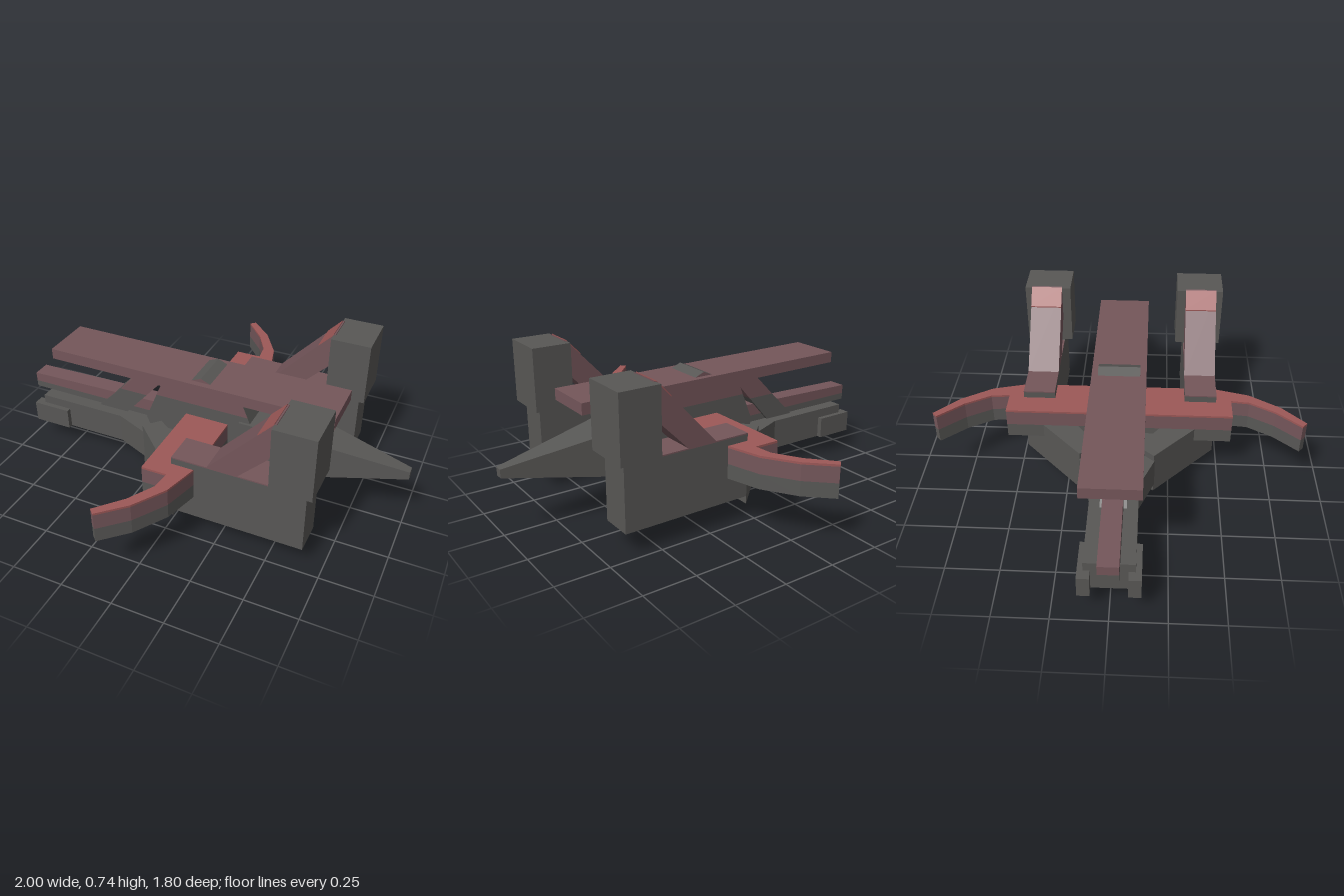
import * as THREE from 'three';

const paint = (name, color) => {
  const m = new THREE.MeshStandardMaterial({ color });
  m.name = name;
  return m;
};

export function createModel() {
  const group = new THREE.Group();
  const grey = paint('dark grey', 0x585755);
  const mauve = paint('mauve', 0x74565a);
  const red = paint('dull red', 0x9c5857);

  const add = (name, geometry, material) => {
    const mesh = new THREE.Mesh(geometry, material);
    mesh.name = name;
    group.add(mesh);
    return mesh;
  };
  // box given by its extents on each axis
  const box = (name, x0, x1, y0, y1, z0, z1, material) => {
    const g = new THREE.BoxGeometry(x1 - x0, y1 - y0, z1 - z0);
    g.translate((x0 + x1) / 2, (y0 + y1) / 2, (z0 + z1) / 2);
    return add(name, g, material);
  };
  const shapeOf = (pts) => new THREE.Shape(pts.map(([a, b]) => new THREE.Vector2(a, b)));
  // side profile (x, y) swept across z
  const sideways = (name, pts, z0, z1, material) => {
    const g = new THREE.ExtrudeGeometry(shapeOf(pts), { depth: z1 - z0, bevelEnabled: false });
    return add(name, g.translate(0, 0, z0), material);
  };
  // plan outline (x, z) raised from y0 to y1
  const upright = (name, pts, y0, y1, material) => {
    const g = new THREE.ExtrudeGeometry(shapeOf(pts.map(([x, z]) => [x, -z])), { depth: y1 - y0, bevelEnabled: false });
    return add(name, g.rotateX(-Math.PI / 2).translate(0, y0, 0), material);
  };
  const mirrored = (half) => [...half, ...half.map(([x, z]) => [x, -z]).reverse()];

  // eight-sided core, with mauve upper faces
  sideways('coreLower', [[0, 0.005], [0.212, 0.093], [0.3, 0.305], [0.24, 0.45],
    [-0.24, 0.45], [-0.3, 0.305], [-0.212, 0.093]], -0.1, 0.1, grey);
  sideways('coreUpper', [[0.24, 0.45], [0.212, 0.517], [0, 0.605], [-0.212, 0.517], [-0.24, 0.45]],
    -0.1, 0.1, [mauve, grey]);

  // long top plate
  box('topPlate', -0.81, 0.66, 0.53, 0.585, -0.13, 0.13, mauve);

  // wing with swept curved tips, banded by height
  const wing = mirrored([[0.14, 0.47], [0.095, 0.64], [0, 0.79], [-0.115, 0.9], [-0.14, 0.877],
    [-0.035, 0.76], [0.035, 0.64], [0.045, 0.55], [-0.08, 0.55]]);
  upright('wingLower', wing, 0.23, 0.3, grey);
  upright('wingUpper', wing, 0.3, 0.375, mauve);
  upright('wingTop', wing, 0.375, 0.385, red);

  // crossbar between the side pods
  box('crossbar', 0.0, 0.185, 0.115, 0.27, -0.32, 0.32, grey);

  for (const s of [-1, 1]) {
    const za = s > 0 ? 0.32 : -0.475;
    const zb = s > 0 ? 0.475 : -0.32;
    // side pod with painted top
    box('sidePod', 0.03, 0.66, 0.115, 0.416, za, zb, grey);
    box('podTop', 0.03, 0.5, 0.416, 0.422, za, zb, mauve);
    // slanted strut up to the rear block, red at its upper end
    sideways('podStrut', [[0.2, 0.42], [0.345, 0.42], [0.51, 0.585], [0.51, 0.745], [0.5, 0.74]], za, zb, mauve);
    sideways('strutTip', [[0.43, 0.665], [0.5, 0.739], [0.5, 0.745], [0.43, 0.671]], za, zb, red);
    box('rearBlock', 0.5, 0.693, 0.43, 0.74, s > 0 ? 0.277 : -0.51, s > 0 ? 0.51 : -0.277, grey);
    // diagonal arm from pod to nose
    upright('diagonalArm', [[0.03, 0.475], [-0.285, 0.175], [-0.22, 0.1], [-0.16, 0.14], [0.03, 0.28]]
      .map(([x, z]) => [x, z * s]), 0.077, 0.3, grey);
    // nose prong
    box('noseProng', -0.96, -0.76, 0.115, 0.222, s > 0 ? 0.08 : -0.135, s > 0 ? 0.135 : -0.08, grey);
  }

  // nose body widening toward the core
  upright('noseBody', mirrored([[-0.915, 0.11], [-0.45, 0.11], [-0.28, 0.18], [0, 0.18]]), 0.115, 0.267, grey);

  // barrel along the top of the nose
  sideways('barrelLower', [[-1, 0.267], [-0.2, 0.267], [-0.2, 0.3], [-1, 0.3]], -0.045, 0.045, grey);
  sideways('barrelUpper', [[-1, 0.3], [-0.2, 0.3], [-0.2, 0.365], [-1, 0.347]], -0.045, 0.045, mauve);

  // slanted front strut carrying the top plate
  sideways('frontStrutLower', [[-0.6, 0.265], [-0.44, 0.265], [-0.32, 0.4], [-0.467, 0.4]], -0.06, 0.06, grey);
  sideways('frontStrutUpper', [[-0.467, 0.4], [-0.32, 0.4], [-0.205, 0.53], [-0.34, 0.53]], -0.06, 0.06, mauve);

  // tail block and tapering four-sided spike
  box('tailBlock', 0.2, 0.47, 0.19, 0.42, -0.113, 0.113, grey);
  const spike = new THREE.CylinderGeometry(0.02 * Math.SQRT2, 0.113 * Math.SQRT2, 0.53, 4, 1).toNonIndexed();
  spike.rotateY(Math.PI / 4).rotateZ(-Math.PI / 2).translate(0.735, 0.305, 0);
  spike.computeVertexNormals();
  add('tailSpike', spike, grey);

  return group;
}
